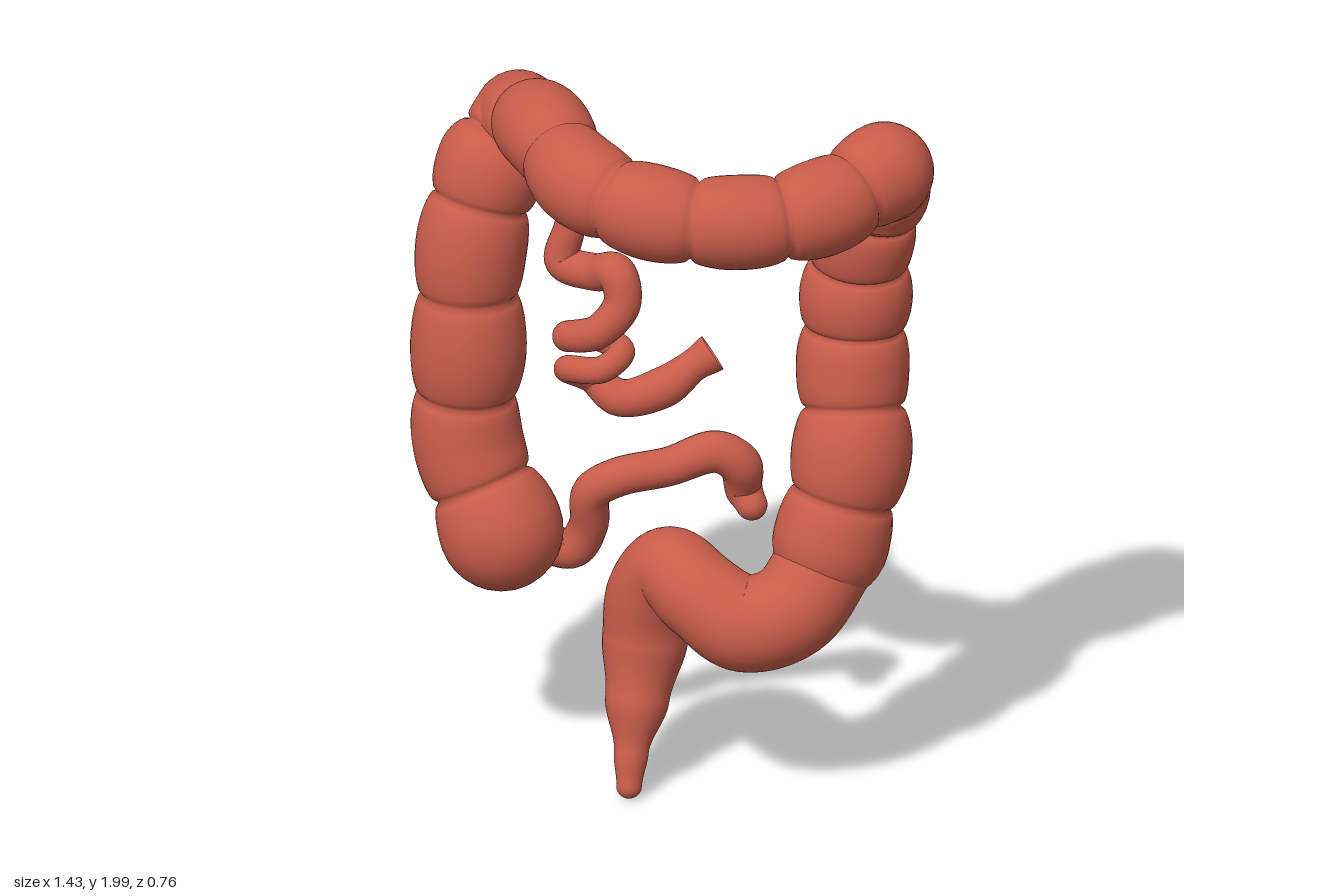
import * as THREE from 'three';

const tissue = new THREE.MeshStandardMaterial({ color: 0xc85c4a });
tissue.name = 'tissue red';
tissue.side = THREE.DoubleSide;

// Sweeps a round section along keys [x, y, z, radius].
// pinch narrows the tube halfway between keys, which makes the pouches.
function gut(name, keys, { pinch = 0, steps = 12, sides = 32, capStart = true, capEnd = true } = {}) {
  const curve = new THREE.CatmullRomCurve3(keys.map(k => new THREE.Vector3(k[0], k[1], k[2])), false, 'centripetal');
  const spans = keys.length - 1, total = spans * steps;
  const rings = [];
  const normal = new THREE.Vector3();
  for (let i = 0; i <= total; i++) {
    const t = i / total;
    const k = Math.min(Math.floor(i / steps), spans - 1);
    const s = i / steps - k;
    const blend = s * s * (3 - 2 * s);
    const d = 1 - Math.abs(s - 0.5) * 2;
    const radius = THREE.MathUtils.lerp(keys[k][3], keys[k + 1][3], blend) * (1 - pinch * (1 - Math.sqrt(1 - d * d)));
    const tangent = curve.getTangent(t);
    // carry the previous normal along so the tube does not twist
    if (i === 0) normal.set(0.31, 0.17, 0.93);
    normal.addScaledVector(tangent, -normal.dot(tangent)).normalize();
    rings.push({ p: curve.getPoint(t), n: normal.clone(), t: tangent, r: radius });
  }

  // domed ends
  const dome = (ring, sign) => Array.from({ length: 8 }, (_, i) => {
    const a = (i + 1) / 8 * Math.PI / 2;
    return { ...ring, p: ring.p.clone().addScaledVector(ring.t, sign * ring.r * Math.sin(a)), r: Math.max(ring.r * Math.cos(a), 0.0005) };
  });
  const all = [
    ...(capStart ? dome(rings[0], -1).reverse() : []),
    ...rings,
    ...(capEnd ? dome(rings[total], 1) : []),
  ];

  const positions = [], index = [];
  all.forEach((ring, i) => {
    const b = new THREE.Vector3().crossVectors(ring.t, ring.n);
    for (let j = 0; j < sides; j++) {
      const a = j / sides * Math.PI * 2;
      const v = ring.p.clone()
        .addScaledVector(ring.n, Math.cos(a) * ring.r)
        .addScaledVector(b, Math.sin(a) * ring.r);
      positions.push(v.x, v.y, v.z);
      if (i === all.length - 1) continue;
      const q = i * sides + j, w = i * sides + (j + 1) % sides;
      index.push(q, w, q + sides, w, w + sides, q + sides);
    }
  });
  const geometry = new THREE.BufferGeometry();
  geometry.setAttribute('position', new THREE.Float32BufferAttribute(positions, 3));
  geometry.setIndex(index);
  geometry.computeVertexNormals();
  const mesh = new THREE.Mesh(geometry, tissue);
  mesh.name = name;
  return mesh;
}

export function createModel() {
  const model = new THREE.Group();
  model.name = 'intestines';

  // pouched large bowel, one key per pouch
  const pouches = { pinch: 0.2, steps: 20, sides: 40 };
  model.add(gut('ascendingColon', [
    [-0.46, 0.69, -0.07, 0.165],
    [-0.56, 0.92, -0.12, 0.147],
    [-0.56, 1.19, -0.13, 0.154],
    [-0.555, 1.48, -0.15, 0.148],
    [-0.51, 1.69, -0.2, 0.148],
    [-0.45, 1.81, -0.26, 0.12],
  ], pouches));
  model.add(gut('transverseColon', [
    [-0.45, 1.81, -0.26, 0.12],
    [-0.345, 1.87, -0.06, 0.125],
    [-0.19, 1.83, 0.16, 0.127],
    [0.01, 1.8, 0.245, 0.128],
    [0.24, 1.785, 0.23, 0.126],
    [0.44, 1.8, 0.13, 0.13],
    [0.58, 1.85, -0.02, 0.132],
  ], pouches));
  model.add(gut('descendingColon', [
    [0.58, 1.85, -0.02, 0.132],
    [0.53, 1.72, -0.18, 0.14],
    [0.485, 1.57, -0.21, 0.14],
    [0.465, 1.39, -0.22, 0.15],
    [0.46, 1.2, -0.2, 0.15],
    [0.47, 0.97, -0.135, 0.16],
    [0.425, 0.73, -0.08, 0.155],
  ], pouches));

  // sigmoid bend running down into the rectum
  model.add(gut('sigmoidAndRectum', [
    [0.42, 0.69, -0.07, 0.13],
    [0.34, 0.57, 0.02, 0.13],
    [0.22, 0.535, 0.055, 0.13],
    [0.1, 0.59, 0.03, 0.12],
    [0.0, 0.63, -0.04, 0.112],
    [-0.06, 0.53, -0.08, 0.118],
    [-0.075, 0.4, -0.08, 0.114],
    [-0.085, 0.25, -0.025, 0.085],
    [-0.09, 0.12, 0.03, 0.046],
    [-0.09, 0.035, 0.06, 0.034],
  ], { sides: 40 }));

  // lower small bowel entering the caecum
  model.add(gut('ileum', [
    [-0.38, 0.64, -0.12, 0.05],
    [-0.28, 0.625, -0.13, 0.055],
    [-0.235, 0.7, -0.12, 0.052],
    [-0.22, 0.81, -0.09, 0.052],
    [-0.15, 0.86, -0.09, 0.052],
    [-0.02, 0.885, -0.13, 0.052],
    [0.1, 0.925, -0.16, 0.056],
    [0.16, 0.885, -0.18, 0.057],
    [0.165, 0.8, -0.21, 0.05],
    [0.19, 0.765, -0.19, 0.042],
  ], { sides: 24 }));

  // upper small bowel with its coil and open flared end
  model.add(gut('jejunum', [
    [-0.37, 1.74, -0.3, 0.04],
    [-0.335, 1.64, -0.29, 0.045],
    [-0.31, 1.52, -0.26, 0.042],
    [-0.33, 1.4, -0.25, 0.048],
    [-0.24, 1.39, -0.22, 0.05],
    [-0.17, 1.415, -0.17, 0.052],
    [-0.15, 1.34, -0.15, 0.05],
    [-0.21, 1.26, -0.13, 0.046],
    [-0.3, 1.22, -0.17, 0.042],
    [-0.25, 1.19, -0.25, 0.036],
    [-0.16, 1.18, -0.19, 0.036],
    [-0.2, 1.155, -0.12, 0.036],
    [-0.3, 1.13, -0.16, 0.036],
    [-0.25, 1.08, -0.23, 0.042],
    [-0.17, 1.03, -0.22, 0.05],
    [-0.06, 1.06, -0.24, 0.055],
    [0.02, 1.12, -0.27, 0.044],
    [0.065, 1.15, -0.29, 0.052],
  ], { sides: 24, capEnd: false }));

  return model;
}
